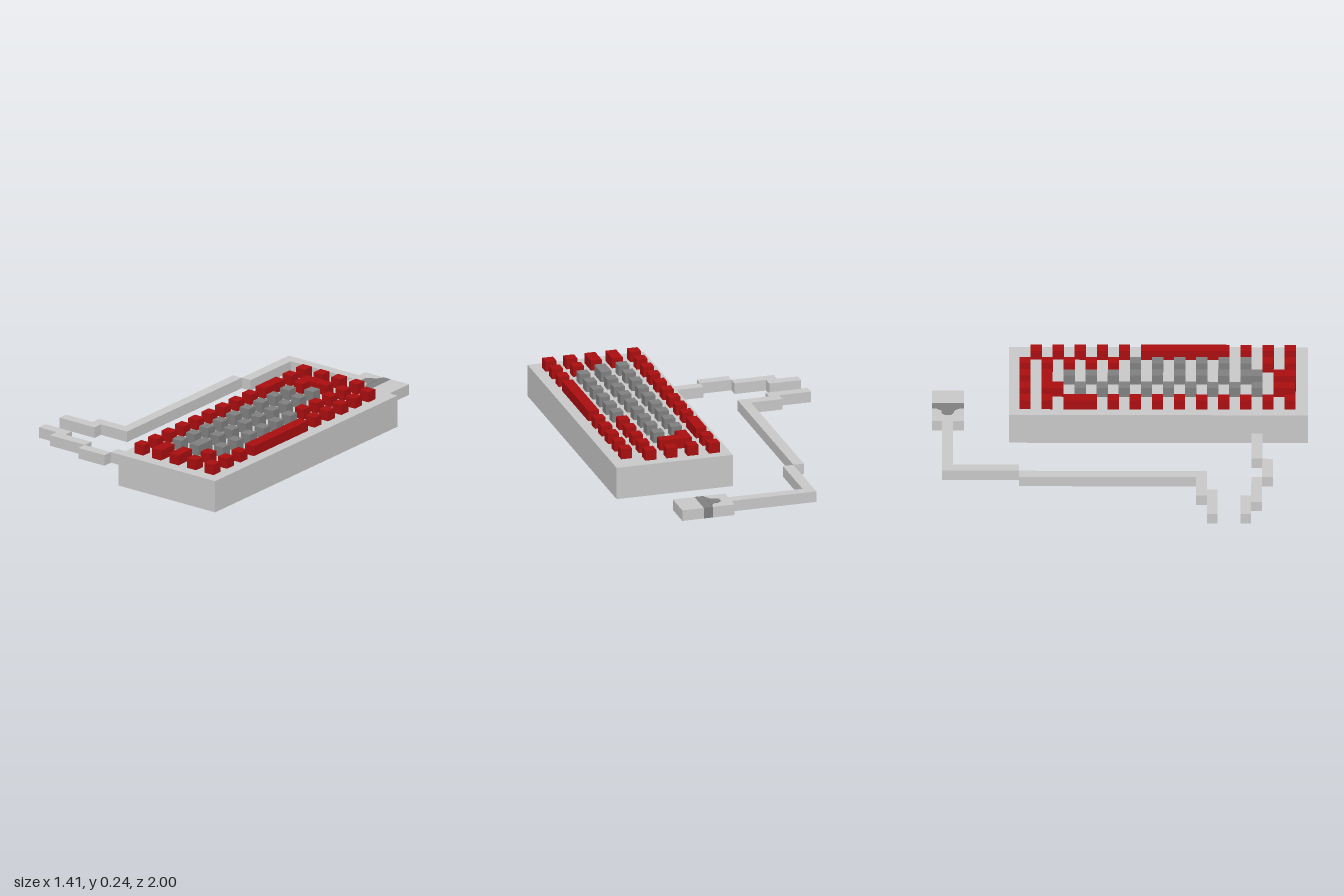
import * as THREE from 'three';

export function createModel() {
  const model = new THREE.Group();
  const shell = new THREE.MeshStandardMaterial({ name: 'light grey shell', color: 0xc8c8c8 });
  const grey = new THREE.MeshStandardMaterial({ name: 'mid grey', color: 0x808080 });
  const red = new THREE.MeshStandardMaterial({ name: 'red keycap', color: 0xaa0e10 });

  // Box given by its extents along each axis
  function box(name, mat, x0, x1, y0, y1, z0, z1) {
    const mesh = new THREE.Mesh(new THREE.BoxGeometry(x1 - x0, y1 - y0, z1 - z0), mat);
    mesh.position.set((x0 + x1) / 2, (y0 + y1) / 2, (z0 + z1) / 2);
    mesh.name = name;
    return mesh;
  }
  // Flat outline in x/z raised from y0 to y1
  function slab(name, mat, points, y0, y1) {
    const shape = new THREE.Shape(points.map(([x, z]) => new THREE.Vector2(x, -z)));
    const geo = new THREE.ExtrudeGeometry(shape, { depth: y1 - y0, bevelEnabled: false });
    geo.rotateX(-Math.PI / 2).translate(0, y0, 0);
    const mesh = new THREE.Mesh(geo, mat);
    mesh.name = name;
    return mesh;
  }

  // Keyboard case
  const caseTop = 0.178, keyTop = 0.235, half = 0.03, step = 0.1175, first = -0.505;
  model.add(box('case', shell, 0.058, 0.705, 0, caseTop, -0.59, 1));

  // Keys: each run is [first row, last row, material]; wide keys span rows
  const keys = new THREE.Group();
  keys.name = 'keys';
  const key = (name, mat, x, a, b) => keys.add(box(name, mat, x - half, x + half, caseTop, keyTop,
    first + a * step - half, first + b * step + half));
  const columns = [
    { x: 0.143, runs: [[0, 1, red], [4, 12, red]], wide: [[2, 3, red]] },
    { x: 0.262, runs: [[0, 0, red], [2.5, 10.5, grey]], wide: [[11.5, 12, red]] },
    { x: 0.379, runs: [[0, 0, red], [2, 9, grey]], wide: [[10, 10.5, grey], [11.5, 12, red]] },
    { x: 0.497, runs: [[0, 4, red], [5, 10, grey], [11, 12, red]], wide: [] },
    { x: 0.614, runs: [[0.5, 4.5, red], [10, 12, red]], wide: [[5.5, 9, red]] },
  ];
  for (const { x, runs, wide } of columns) {
    for (const [a, b, mat] of runs) for (let i = a; i <= b; i++) key('key', mat, x, i, i);
    for (const [a, b, mat] of wide) key('wideKey', mat, x, a, b);
  }
  // L-shaped enter key
  keys.add(slab('enterKey', red, [[0.232, -0.417], [0.409, -0.417], [0.409, -0.358],
    [0.292, -0.358], [0.292, -0.3], [0.232, -0.3]], caseTop, keyTop));
  model.add(keys);

  // Cable in stepped straight pieces: [x0, x1, z0, z1]
  const h = 0.06;
  const cable = new THREE.Group();
  cable.name = 'cable';
  const pieces = [
    [-0.238, 0.175, -0.945, -0.887], [-0.297, -0.238, -0.945, -0.535],
    [-0.355, -0.297, -0.535, 0.465], [-0.53, -0.355, 0.407, 0.465],
    [-0.707, -0.472, 0.465, 0.522], [-0.707, -0.53, 0.643, 0.7],
    [-0.59, -0.355, 0.7, 0.758], [-0.355, -0.18, 0.758, 0.815],
    [-0.18, 0.058, 0.7, 0.758],
  ];
  for (const [x0, x1, z0, z1] of pieces) cable.add(box('cablePiece', shell, x0, x1, 0, h, z0, z1));
  model.add(cable);

  // Plug with a dark band and an emblem-like patch beside it
  const plug = new THREE.Group();
  plug.name = 'plug';
  plug.add(box('plugRear', shell, 0.175, 0.295, 0, h, -1, -0.83));
  plug.add(box('plugBand', grey, 0.295, 0.347, 0, h, -1, -0.83));
  plug.add(box('plugTip', shell, 0.347, 0.467, 0, h, -1, -0.83));
  const patch = [[0.296, -0.98], [0.275, -0.95], [0.252, -0.95], [0.23, -0.93],
    [0.23, -0.9], [0.252, -0.885], [0.275, -0.88], [0.296, -0.85]];
  plug.add(slab('plugPatchTop', grey, patch, h - 0.002, h + 0.002));
  plug.add(slab('plugPatchBottom', grey, patch, -0.001, 0.002));
  model.add(plug);

  return model;
}
